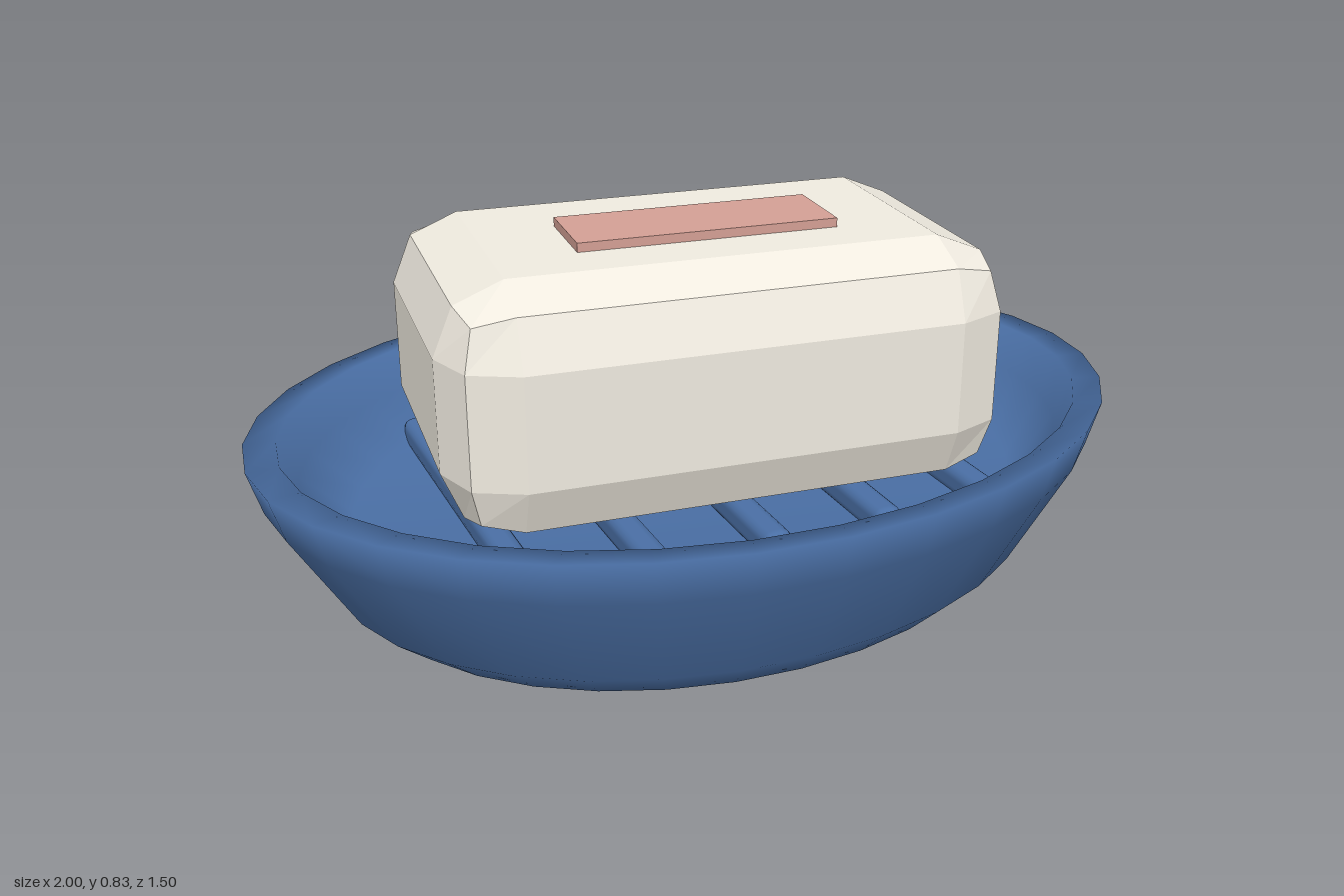
import * as THREE from 'three';
import { RoundedBoxGeometry } from 'three/addons/geometries/RoundedBoxGeometry.js';

export function createModel() {
  const model = new THREE.Group();
  const blue = new THREE.MeshStandardMaterial({ color: 0x4a6fa5 });
  const cream = new THREE.MeshStandardMaterial({ color: 0xf0ebe0, flatShading: true });
  const pink = new THREE.MeshStandardMaterial({ color: 0xd4a095 });

  const add = (parent, name, geometry, material, x, y, z) => {
    const mesh = new THREE.Mesh(geometry, material);
    mesh.name = name;
    mesh.position.set(x, y, z);
    parent.add(mesh);
    return mesh;
  };

  // Oval dish: outside wall, rim, then inside wall down to the raised floor
  const profile = [
    [0, 0], [0.75, 0], [0.83, 0.065], [0.97, 0.3], [1, 0.4],
    [0.93, 0.4], [0.89, 0.31], [0.78, 0.21], [0, 0.2],
  ].map(([r, y]) => new THREE.Vector2(r, y));
  const dish = add(model, 'dish', new THREE.LatheGeometry(profile, 32), blue, 0, 0, 0);
  dish.scale.z = 0.75;

  // Drainage ridges on the floor
  const ridges = new THREE.Group();
  ridges.name = 'ridges';
  const ridgeShape = new RoundedBoxGeometry(0.066, 0.07, 0.92, 2, 0.025);
  for (let i = -2; i <= 2; i++) add(ridges, 'ridge', ridgeShape, blue, i * 0.265, 0.23, 0);
  model.add(ridges);

  // Soap bar with bevelled edges, lying slightly askew, and its label
  const soap = new THREE.Group();
  soap.name = 'soap';
  soap.rotation.y = -0.1;
  add(soap, 'soapBar', new RoundedBoxGeometry(1.24, 0.55, 0.8, 1, 0.15), cream, 0, 0.535, 0);
  add(soap, 'label', new THREE.BoxGeometry(0.58, 0.04, 0.2), pink, 0, 0.81, 0.03);
  model.add(soap);

  return model;
}
